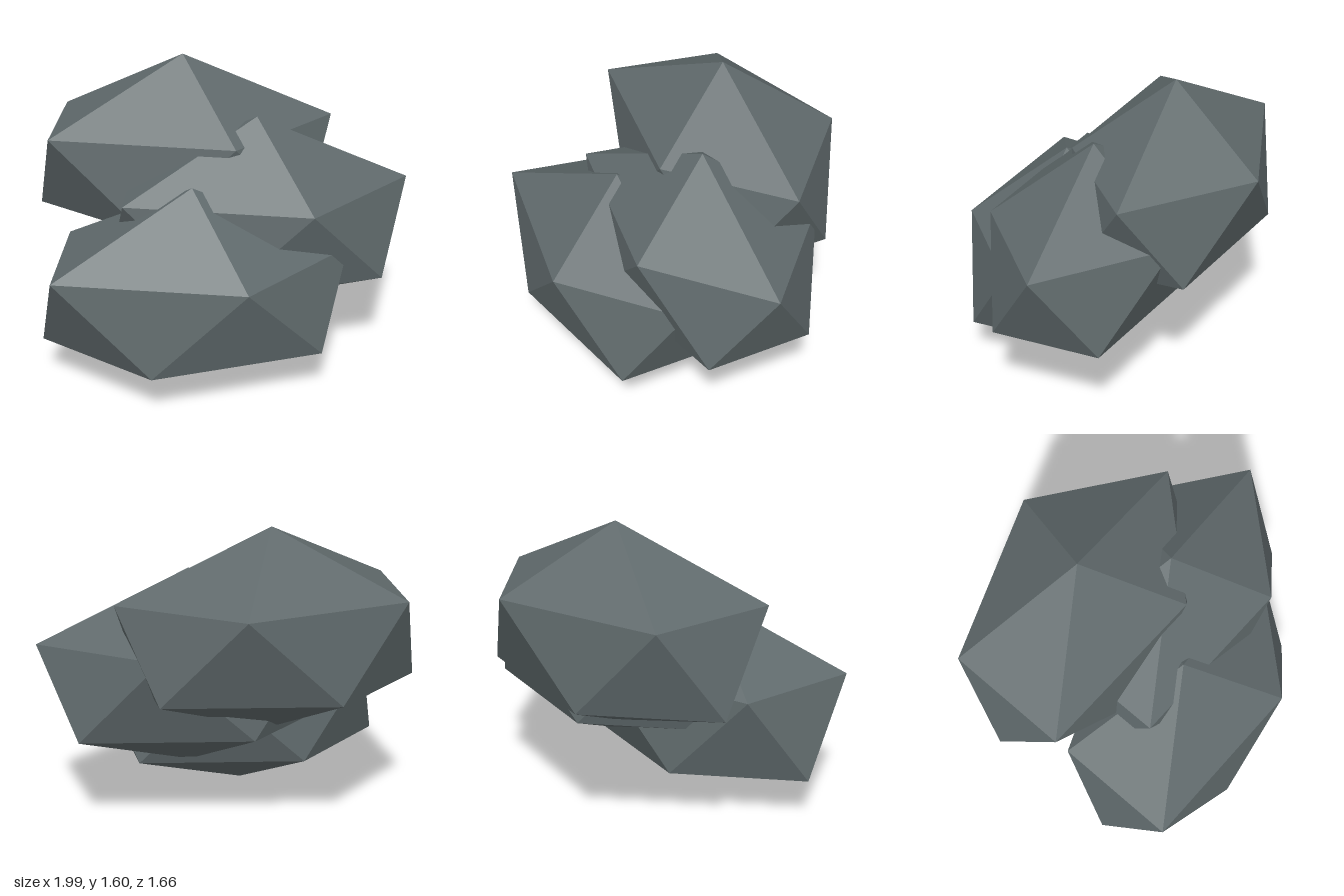
import * as THREE from 'three';

// One faceted boulder: two staggered five-point rings closed by a peak and a base point
function boulderGeometry() {
  const peak = [0, 1.08, 0];
  const base = [0, 0, 0];
  // slightly uneven upper ring
  const upper = [
    [0.82, 0.71, 0],
    [0.24, 0.70, 0.49],
    [-0.73, 0.74, 0.35],
    [-0.64, 0.72, -0.31],
    [0.26, 0.72, -0.54],
  ];
  // regular lower ring, wider in x than in z
  const lower = [];
  for (let i = 0; i < 5; i++) {
    const a = ((36 + 72 * i) * Math.PI) / 180;
    lower.push([0.8 * Math.cos(a), 0.245, 0.5 * Math.sin(a)]);
  }
  const positions = [];
  const face = (a, b, c) => positions.push(...a, ...b, ...c);
  for (let i = 0; i < 5; i++) {
    const n = (i + 1) % 5;
    face(peak, upper[n], upper[i]);
    face(upper[i], upper[n], lower[i]);
    face(lower[i], upper[n], lower[n]);
    face(base, lower[i], lower[n]);
  }
  const geometry = new THREE.BufferGeometry();
  geometry.setAttribute('position', new THREE.Float32BufferAttribute(positions, 3));
  geometry.computeVertexNormals();
  return geometry;
}

export function createModel() {
  const group = new THREE.Group();
  group.name = 'rockPile';

  const stone = new THREE.MeshStandardMaterial({ color: 0x5f696b, flatShading: true });
  stone.name = 'slate grey stone';

  // Three equal boulders climbing towards the back
  const geometry = boulderGeometry();
  const boulders = [
    ['frontBoulder', -0.19, 0, 0.34],
    ['middleBoulder', 0.18, 0.26, 0.02],
    ['backBoulder', -0.19, 0.52, -0.29],
  ];
  for (const [name, x, y, z] of boulders) {
    const mesh = new THREE.Mesh(geometry, stone);
    mesh.name = name;
    mesh.position.set(x, y, z);
    group.add(mesh);
  }
  return group;
}
